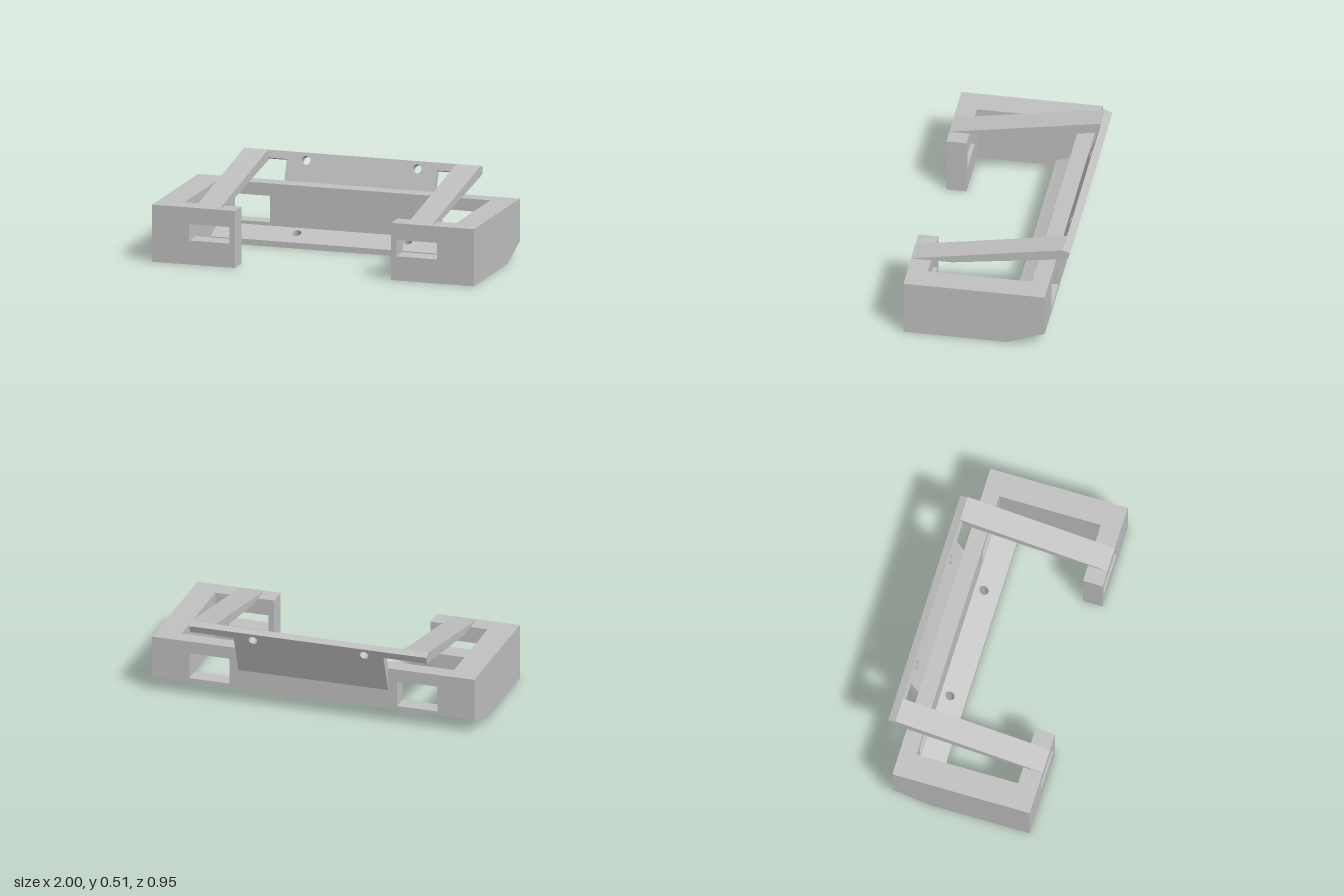
import * as THREE from 'three';

const grey = new THREE.MeshStandardMaterial({ color: 0xc0c0c0 });
grey.name = 'plain grey';

export function createModel() {
  const group = new THREE.Group();

  const add = (name, geometry) => {
    const mesh = new THREE.Mesh(geometry, grey);
    mesh.name = name;
    group.add(mesh);
    return mesh;
  };
  const shapeOf = (points) => new THREE.Shape(points.map(([a, b]) => new THREE.Vector2(a, b)));
  const rect = (a0, b0, a1, b1) => shapeOf([[a0, b0], [a1, b0], [a1, b1], [a0, b1]]);
  const extrude = (shape, depth) =>
    new THREE.ExtrudeGeometry(shape, { depth, bevelEnabled: false, curveSegments: 24 });

  // Profile given as [z, y] points, extruded along x from x0 to x1
  const alongX = (points, x0, x1) =>
    extrude(shapeOf(points), x1 - x0).rotateY(-Math.PI / 2).translate(x1, 0, 0);

  const circle = (x, y, r) => {
    const path = new THREE.Path();
    path.absarc(x, y, r, 0, Math.PI * 2, true);
    return path;
  };

  const H = 0.345, BACK = -0.37, FRONT = 0.475;
  const LEFT = 0.85, RIGHT = -0.84;
  const HOLE_X = 0.345, HOLE_R = 0.027;

  // Side walls, front pillars with windows, and sloping struts
  const sideProfile = [[FRONT, 0], [FRONT, H], [BACK, H], [BACK, 0.085], [-0.145, 0]];
  const strutProfile = [[FRONT, H], [-0.43, 0.51], [-0.475, 0.493], [-0.46, 0.45], [0.23, H]];
  for (const s of [1, -1]) {
    const side = s > 0 ? 'left' : 'right';
    const inner = s > 0 ? LEFT : RIGHT;
    const span = (a, b) => [Math.min(a, b), Math.max(a, b)];

    add(side + 'SideWall', alongX(sideProfile, ...span(inner, s)));

    const [p0, p1] = span(0.485 * s, inner);
    const [w0, w1] = span(0.52 * s, 0.77 * s);
    const pillar = rect(p0, 0, p1, H);
    pillar.holes.push(rect(w0, 0.145, w1, 0.245));
    add(side + 'FrontPillar', extrude(pillar, 0.12).translate(0, 0, FRONT - 0.12));

    add(side + 'Strut', alongX(strutProfile, ...span(0.585 * s, 0.735 * s)));
  }

  // Back wall with two taller windows, resting on a chamfered sill
  const wall = rect(RIGHT, 0.1, LEFT, H);
  wall.holes.push(rect(0.52, 0.11, 0.77, 0.27), rect(-0.77, 0.11, -0.52, 0.27));
  add('backWall', extrude(wall, 0.1).translate(0, 0, BACK));
  add('backSill', alongX([[BACK, 0.1], [BACK, 0.085], [-0.27, 0.047], [-0.27, 0.1]], RIGHT, LEFT));

  // Sloping ledge: a drilled slab sheared to follow the chamfer
  const slope = 0.085 / 0.225, thick = 0.043;
  const ledge = rect(RIGHT, -0.27, LEFT, -0.145);
  for (const s of [1, -1]) ledge.holes.push(circle(HOLE_X * s, -0.23, HOLE_R));
  const ledgeGeometry = extrude(ledge, thick);
  const pos = ledgeGeometry.attributes.position;
  for (let i = 0; i < pos.count; i++) {
    const up = pos.getZ(i);
    let z = pos.getY(i);
    // Tilt the screw holes square to the slope
    if (z > -0.265 && z < -0.15) z += up * 0.33;
    pos.setXYZ(i, -pos.getX(i), up - slope * (z + 0.145), z);
  }
  // The mirrored x keeps the faces outward after swapping y and z
  ledgeGeometry.computeVertexNormals();
  const ledgeMesh = add('ledge', ledgeGeometry);
  ledgeMesh.position.x = LEFT + RIGHT;
  add('ledgeLip', alongX([[-0.145, 0], [-0.12, 0], [-0.12, 0.035], [-0.145, thick]], RIGHT, LEFT));

  // Leaning T-shaped plate with screw holes, joining the struts at the top
  const plate = shapeOf([
    [-0.465, 0], [0.465, 0], [0.465, 0.26], [0.585, 0.26],
    [0.585, 0.3065], [-0.585, 0.3065], [-0.585, 0.26], [-0.465, 0.26],
  ]);
  for (const s of [1, -1]) plate.holes.push(circle(HOLE_X * s, 0.26, HOLE_R));
  add('mountingPlate', extrude(plate, 0.047).rotateX(-0.35).translate(0, 0.205, BACK));

  return group;
}
